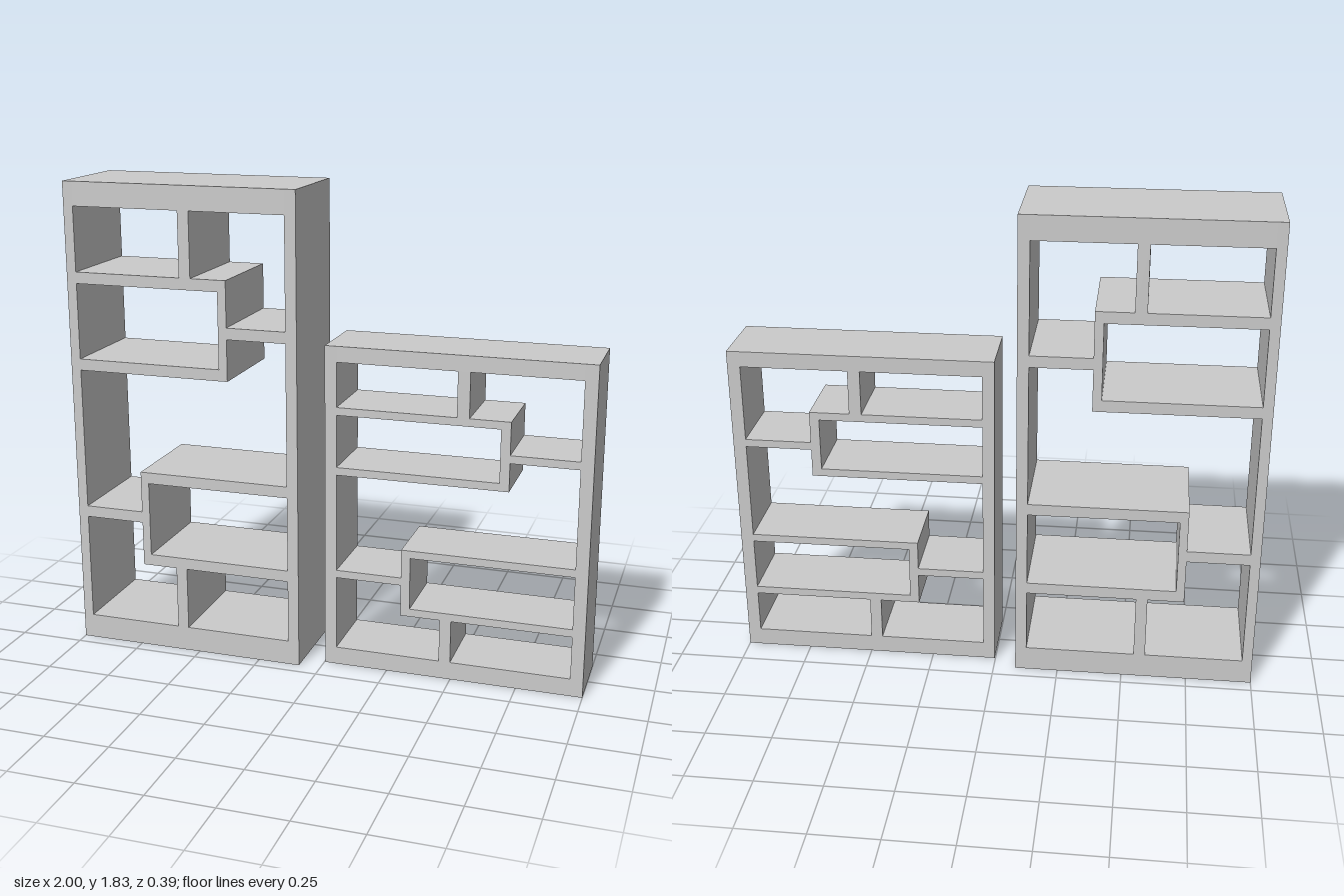
import * as THREE from 'three';

const material = new THREE.MeshStandardMaterial({ color: 0xcccccc, flatShading: true });

// One bookcase: each panel is a full-depth board given by its x and y extents.
function bookcase(name, depth, o) {
  const group = new THREE.Group();
  group.name = name;
  const board = (part, x0, x1, y0, y1) => {
    const mesh = new THREE.Mesh(new THREE.BoxGeometry(x1 - x0, y1 - y0, depth), material);
    mesh.position.set((x0 + x1) / 2, (y0 + y1) / 2, 0);
    mesh.name = part;
    group.add(mesh);
  };
  const [xa, xb] = o.outer, [ia, ib] = o.inner;
  const [bottom, top] = o.innerY;
  const t = o.shelf;

  // Outer frame
  board('rightSide', xa, ia, 0, o.height);
  board('leftSide', ib, xb, 0, o.height);
  board('topPanel', ia, ib, top, o.height);
  board('basePanel', ia, ib, 0, bottom);

  // Upper box, fixed to the right side
  const u = o.upper;
  board('upperBoxTop', ia, u.post[1], u.top - t, u.top);
  board('upperBoxBottom', ia, u.post[1], u.low, u.low + t);
  board('upperBoxPost', u.post[0], u.post[1], u.low + t, u.top - t);
  board('upperSmallShelf', u.post[1], ib, u.small - t, u.small);
  board('upperDivider', u.divider[0], u.divider[1], u.top, top);

  // Lower box, fixed to the left side
  const l = o.lower;
  board('lowerBoxTop', l.post[0], ib, l.top - t, l.top);
  board('lowerBoxBottom', l.post[0], ib, l.low, l.low + t);
  board('lowerBoxPost', l.post[0], l.post[1], l.low + t, l.top - t);
  board('lowerSmallShelf', ia, l.post[0], l.small - t, l.small);
  board('lowerDivider', l.divider[0], l.divider[1], bottom, l.low);
  return group;
}

export function createModel() {
  const model = new THREE.Group();
  model.name = 'bookcasePair';
  model.add(bookcase('tallBookcase', 0.394, {
    outer: [-1, -0.085], inner: [-0.962, -0.128], height: 1.83, innerY: [0.096, 1.738], shelf: 0.044,
    upper: { post: [-0.391, -0.358], top: 1.491, low: 1.111, small: 1.315, divider: [-0.541, -0.497] },
    lower: { post: [-0.727, -0.695], top: 0.723, low: 0.342, small: 0.56, divider: [-0.589, -0.545] },
  }));
  model.add(bookcase('shortBookcase', 0.275, {
    outer: [0.003, 1], inner: [0.048, 0.952], height: 1.262, innerY: [0.069, 1.202], shelf: 0.03,
    upper: { post: [0.664, 0.7], top: 1.031, low: 0.769, small: 0.907, divider: [0.502, 0.548] },
    lower: { post: [0.302, 0.337], top: 0.5, low: 0.236, small: 0.388, divider: [0.454, 0.498] },
  }));
  return model;
}
